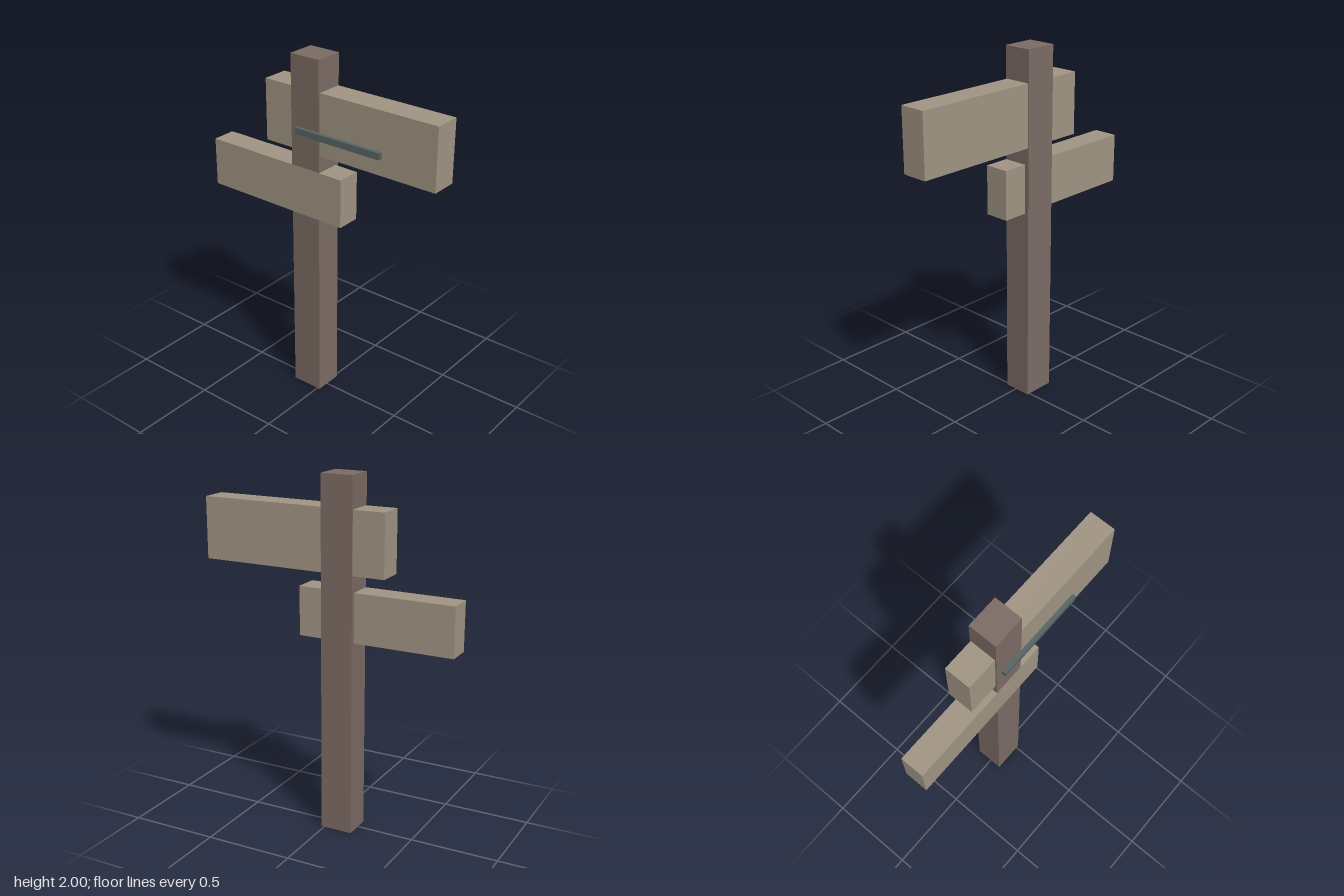
import * as THREE from 'three';

const material = (name, color) => {
  const m = new THREE.MeshStandardMaterial({ color });
  m.name = name;
  return m;
};

// Box given by its [min, max] extent along each axis
function block(name, mat, [x0, x1], [y0, y1], [z0, z1]) {
  const mesh = new THREE.Mesh(new THREE.BoxGeometry(x1 - x0, y1 - y0, z1 - z0), mat);
  mesh.name = name;
  mesh.position.set((x0 + x1) / 2, (y0 + y1) / 2, (z0 + z1) / 2);
  return mesh;
}

export function createModel() {
  const postWood = material('dark post wood', 0x7d6c65);
  const boardWood = material('pale board wood', 0xa29684);
  const barMetal = material('grey green bar', 0x566664);

  const group = new THREE.Group();
  group.name = 'signpost';
  group.add(
    // Upright post
    block('post', postWood, [-0.168, 0.016], [0, 2], [-0.092, 0.07]),
    // Upper board, set just behind the post's front face
    block('upperBoard', boardWood, [-0.349, 0.731], [1.479, 1.825], [-0.088, 0.062]),
    // Lower board, a hair proud of the post's front face
    block('lowerBoard', boardWood, [-0.735, 0.16], [1.109, 1.385], [-0.068, 0.071]),
    // Thin bar fixed to the front of the post
    block('frontBar', barMetal, [-0.127, 0.415], [1.575, 1.612], [0.069, 0.091]),
  );
  return group;
}
